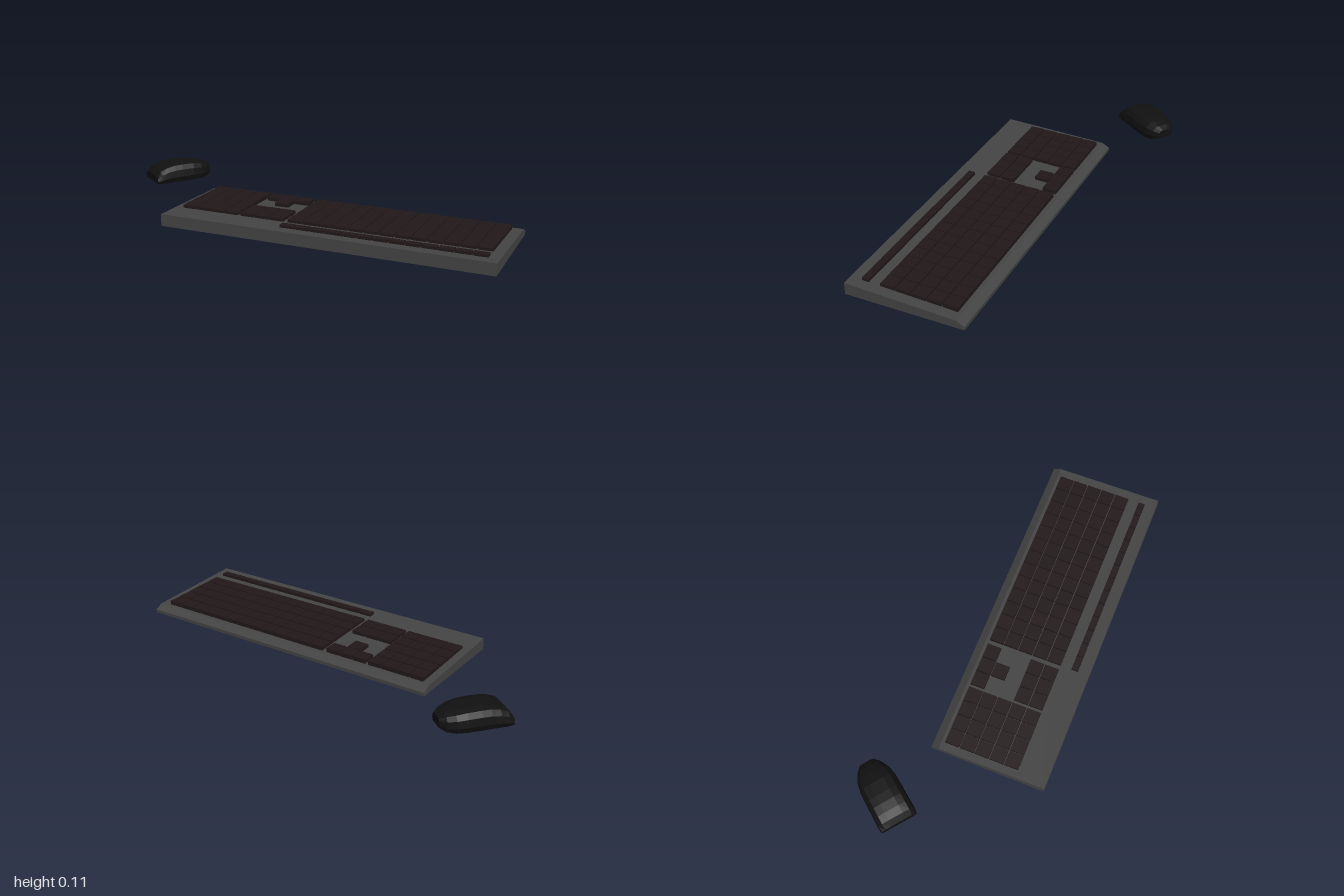
import * as THREE from 'three';

const material = (color) => new THREE.MeshStandardMaterial({ color, flatShading: true });

// Loft closed rings of equal length into one faceted skin with flat end caps
function loft(rings) {
  const n = rings[0].length;
  const index = [];
  for (let r = 0; r < rings.length - 1; r++) {
    for (let i = 0; i < n; i++) {
      const j = (i + 1) % n;
      const a = r * n + i, b = r * n + j, c = a + n, d = b + n;
      index.push(a, d, b, a, c, d);
    }
  }
  const last = (rings.length - 1) * n;
  for (let i = 1; i < n - 1; i++) {
    index.push(0, i, i + 1);
    index.push(last, last + i + 1, last + i);
  }
  const geometry = new THREE.BufferGeometry();
  geometry.setAttribute('position', new THREE.Float32BufferAttribute(rings.flat(2), 3));
  geometry.setIndex(index);
  geometry.computeVertexNormals();
  return geometry;
}

function createKeyboard() {
  const keyboard = new THREE.Group();
  keyboard.name = 'keyboard';
  const width = 1.527;

  // Wedge body: tall front edge, bevelled thin rear edge
  const profile = new THREE.Shape([
    [-0.27, 0], [0.27, 0], [0.27, 0.016], [0.235, 0.035], [-0.27, 0.0555],
  ].map(([x, y]) => new THREE.Vector2(x, y)));
  const bodyGeometry = new THREE.ExtrudeGeometry(profile, { depth: width, bevelEnabled: false });
  bodyGeometry.rotateY(Math.PI / 2).translate(-width / 2, 0, 0);
  const body = new THREE.Mesh(bodyGeometry, material(0x444444));
  body.name = 'keyboardBody';
  keyboard.add(body);

  // Keys, each row a little higher towards the front
  const keyMaterial = material(0x211819);
  const pitch = 0.0708, height = 0.025, backEdge = -0.2195;
  const addKey = (name, x, z, w, d) => {
    const key = new THREE.Mesh(new THREE.BoxGeometry(w, height, d), keyMaterial);
    key.name = name;
    key.position.set(x, 0.0602 + 0.029 * z - height / 2, z);
    keyboard.add(key);
  };
  const addBlock = (name, left, columns, columnPitch, hasKey = () => true) => {
    for (let row = 0; row < 5; row++) {
      for (let col = 0; col < columns; col++) {
        if (!hasKey(row, col)) continue;
        addKey(name, left + (col + 0.5) * columnPitch, backEdge + (row + 0.5) * pitch,
          columnPitch - 0.005, pitch - 0.005);
      }
    }
  };
  addBlock('mainKey', -0.204, 13, 0.0709);
  addBlock('numberKey', -0.729, 4, 0.0709);
  addBlock('navigationKey', -0.435, 3, 0.0709,
    (row, col) => row !== 2 && (row !== 1 || col === 1));

  // Narrow strip of keys along the front
  for (let col = 0; col < 13; col++) {
    addKey('narrowKey', -0.204 + (col + 0.5) * 0.0709, 0.2, 0.0659, 0.031);
  }

  keyboard.position.set(0.218, 0, 0.0705);
  keyboard.rotation.y = 0.0625;
  return keyboard;
}

function createMouse() {
  // Stations along the length: distance, half width, bottom, top
  const stations = [
    [-0.008, 0.086, 0.023, 0.062], [0.015, 0.09, 0.022, 0.088], [0.05, 0.089, 0.022, 0.103],
    [0.09, 0.088, 0.022, 0.111], [0.13, 0.088, 0.022, 0.1125], [0.19, 0.086, 0.022, 0.111],
    [0.235, 0.078, 0.022, 0.104], [0.27, 0.06, 0.026, 0.094], [0.295, 0.037, 0.039, 0.08],
  ];
  // Half cross-section: fraction of width, fraction of height
  const half = [[0.88, 0], [1, 0.3], [0.94, 0.68], [0.74, 0.92], [0.38, 1]];
  const section = [...half, ...half.map(([x, y]) => [-x, y]).reverse()];
  const rings = stations.map(([s, w, bottom, top]) =>
    section.map(([x, y]) => [x * w, bottom + y * (top - bottom), -s]));
  const shell = new THREE.Mesh(loft(rings), material(0x111111));
  shell.name = 'mouseShell';

  const mouse = new THREE.Group();
  mouse.name = 'mouse';
  mouse.add(shell);
  mouse.position.set(-0.925, 0, -0.125);
  mouse.rotation.y = -0.606;
  return mouse;
}

export function createModel() {
  const model = new THREE.Group();
  model.name = 'keyboardAndMouse';
  model.add(createKeyboard(), createMouse());
  return model;
}
